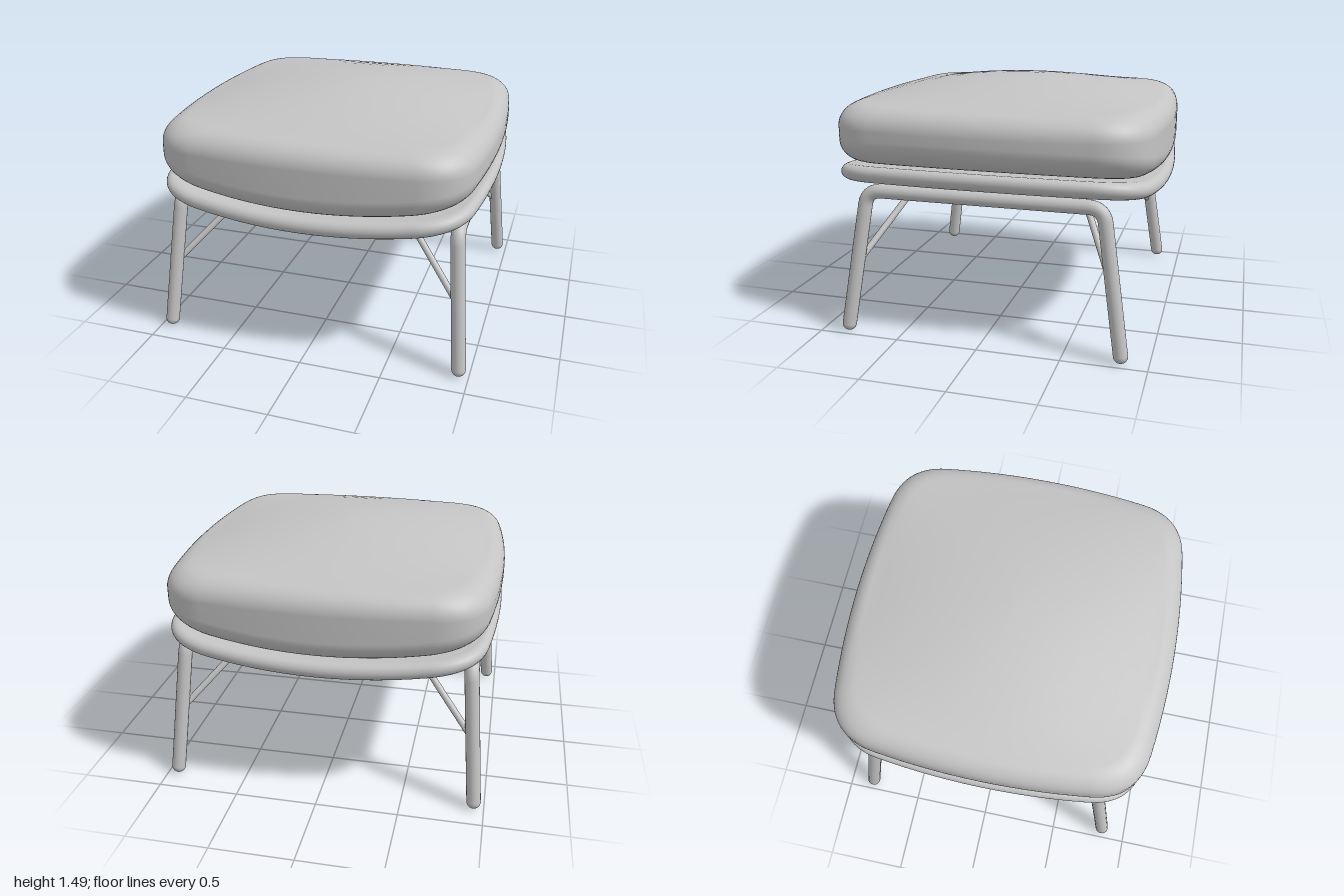
import * as THREE from 'three';

const V = (x, y, z) => new THREE.Vector3(x, y, z);

// Rounded square with gently bowed sides, in x and z
function outline() {
  const s = new THREE.Shape();
  const a = 0.66, b = 0.954, bow = 1.046, c = 0.918;
  s.moveTo(-a, b);
  s.quadraticCurveTo(0, bow, a, b);
  s.quadraticCurveTo(c, c, b, a);
  s.quadraticCurveTo(bow, 0, b, -a);
  s.quadraticCurveTo(c, -c, a, -b);
  s.quadraticCurveTo(0, -bow, -a, -b);
  s.quadraticCurveTo(-c, -c, -b, -a);
  s.quadraticCurveTo(-bow, 0, -b, a);
  s.quadraticCurveTo(-c, c, -a, b);
  return s.getPoints(14).slice(0, -1);
}

// Skin over scaled copies of the outline, bottom to top; height(x, z) per ring
function loft(rings) {
  const pts = outline(), n = pts.length, pos = [], idx = [];
  for (const { scale, height } of rings)
    for (const p of pts) {
      const x = p.x * scale, z = p.y * scale;
      pos.push(x, height(x, z), z);
    }
  for (let i = 0; i < rings.length - 1; i++)
    for (let j = 0; j < n; j++) {
      const k = (j + 1) % n;
      const a = i * n + j, b = i * n + k, c = b + n, d = a + n;
      if (i > 0) idx.push(a, b, c);
      else idx.push(a, c, d);
      if (i > 0 && i < rings.length - 2) idx.push(a, c, d);
    }
  const g = new THREE.BufferGeometry();
  g.setAttribute('position', new THREE.Float32BufferAttribute(pos, 3));
  g.setIndex(idx);
  g.computeVertexNormals();
  return g;
}

// Sheet scales from the centre outwards
const inner = [0.005, 0.15, 0.3, 0.45, 0.6, 0.72, 0.81];

function cushionGeometry() {
  const r = 0.13, edge = 1 - r, rings = [];
  const bottom = (x) => 0.96 + 0.11 * x * x;
  const crown = (x, z) =>
    1.38 + 0.11 * Math.max(0, 1 - (x / edge) ** 2) * Math.max(0, 1 - (z / edge) ** 2);
  rings.push({ scale: 0, height: bottom });
  for (const scale of inner) rings.push({ scale, height: bottom });
  for (let i = 0; i <= 10; i++) {
    const t = (i / 10) * Math.PI / 2;
    rings.push({ scale: edge + r * Math.sin(t), height: (x) => bottom(x) + r * (1 - Math.cos(t)) });
  }
  for (let i = 0; i <= 10; i++) {
    const t = (i / 10) * Math.PI / 2;
    rings.push({ scale: edge + r * Math.cos(t), height: (x, z) => crown(x, z) - r * (1 - Math.sin(t)) });
  }
  for (const scale of [...inner].reverse()) rings.push({ scale, height: crown });
  rings.push({ scale: 0, height: crown });
  return loft(rings);
}

function shellGeometry() {
  const r = 0.05, rings = [];
  const mid = (x) => 0.905 + 0.1 * x * x;
  const low = (x) => mid(x) - r, high = (x) => mid(x) + r;
  rings.push({ scale: 0, height: low });
  for (const scale of inner) rings.push({ scale, height: low });
  for (let i = 0; i <= 14; i++) {
    const t = (i / 14 - 0.5) * Math.PI;
    rings.push({ scale: 1 - r + r * Math.cos(t), height: (x) => mid(x) + r * Math.sin(t) });
  }
  for (const scale of [...inner].reverse()) rings.push({ scale, height: high });
  rings.push({ scale: 0, height: high });
  return loft(rings);
}

export function createModel() {
  const model = new THREE.Group();
  const grey = new THREE.MeshStandardMaterial({ color: 0xc4c4c4 });
  grey.name = 'light grey';

  const add = (parent, name, geometry) => {
    const m = new THREE.Mesh(geometry, grey);
    m.name = name;
    parent.add(m);
    return m;
  };
  const ball = (parent, name, p, r) =>
    add(parent, name, new THREE.SphereGeometry(r, 20, 14)).position.copy(p);
  const rod = (parent, name, a, b, r) =>
    add(parent, name, new THREE.TubeGeometry(new THREE.LineCurve3(a, b), 1, r, 14));

  add(model, 'cushion', cushionGeometry());
  add(model, 'seatShell', shellGeometry());

  for (const side of [1, -1]) {
    const frame = new THREE.Group();
    frame.name = side > 0 ? 'leftFrame' : 'rightFrame';
    model.add(frame);

    // Bent tube: front leg, top rail and back leg in one piece
    const R = 0.043, y = 0.88;
    const foot = (e) => V(side * 0.937, R, e * 0.838);
    const knee = (e) => V(side * 0.865, y, e * 0.71);
    const legEnd = (e) => knee(e).lerp(foot(e), 0.1);
    const railEnd = (e) => V(side * 0.865, y, e * 0.62);
    const path = new THREE.CurvePath();
    path.add(new THREE.LineCurve3(foot(1), legEnd(1)));
    path.add(new THREE.QuadraticBezierCurve3(legEnd(1), knee(1), railEnd(1)));
    path.add(new THREE.LineCurve3(railEnd(1), railEnd(-1)));
    path.add(new THREE.QuadraticBezierCurve3(railEnd(-1), knee(-1), legEnd(-1)));
    path.add(new THREE.LineCurve3(legEnd(-1), foot(-1)));
    add(frame, 'legTube', new THREE.TubeGeometry(path, 140, R, 20));

    // Thin brace from each leg up to a bar under the seat
    const r = 0.02;
    const corner = (e) => V(side * 0.51, 0.865, e * 0.52);
    for (const e of [1, -1]) {
      const end = e > 0 ? 'front' : 'back';
      ball(frame, end + 'Foot', foot(e), R);
      rod(frame, end + 'Brace', V(side * 0.9, 0.44, e * 0.772), corner(e), r);
      ball(frame, end + 'BraceJoint', corner(e), r);
    }
    rod(frame, 'braceBar', corner(1), corner(-1), r);
  }
  return model;
}
